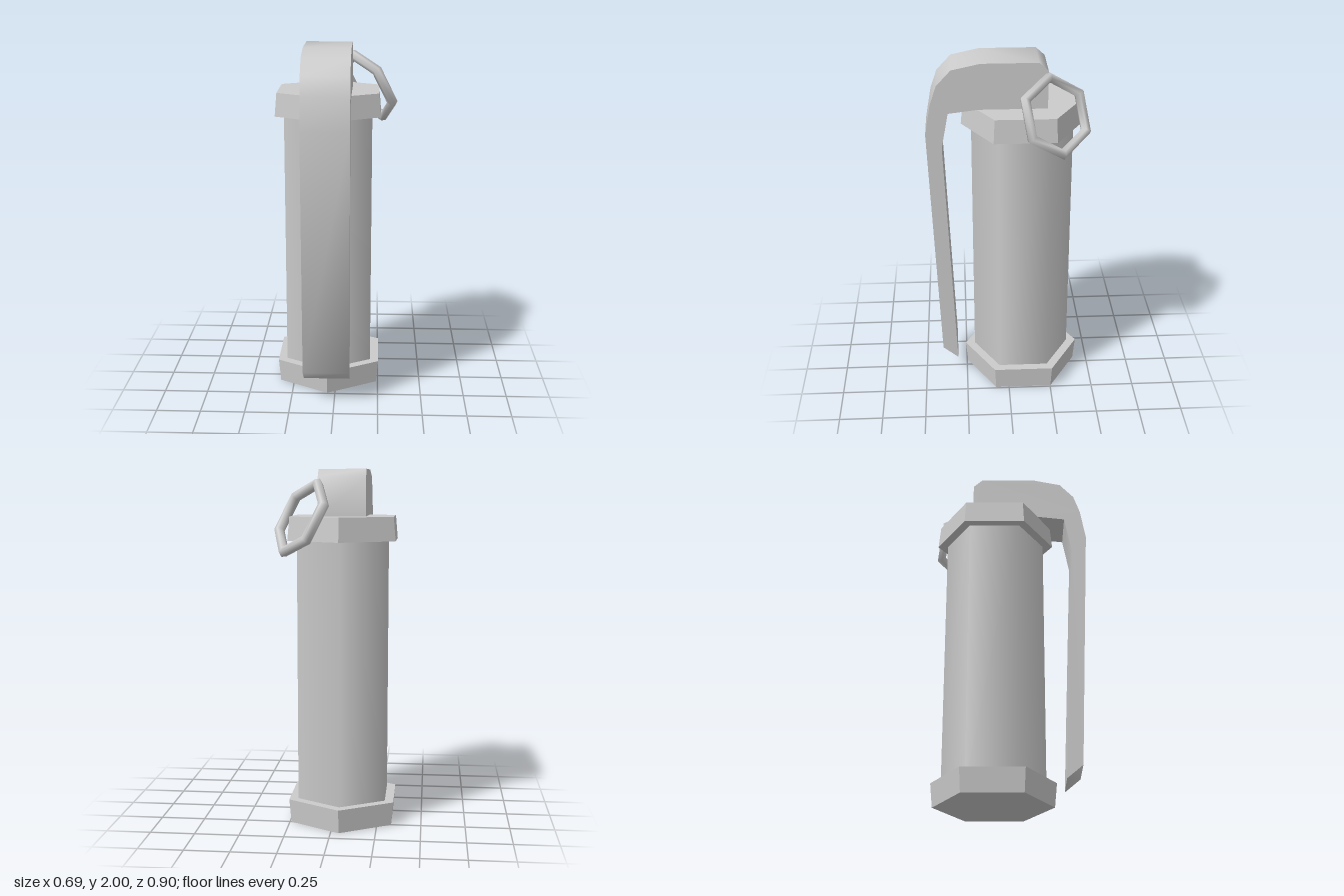
import * as THREE from 'three';
import { toCreasedNormals } from 'three/addons/utils/BufferGeometryUtils.js';

export function createModel() {
  const model = new THREE.Group();
  const smooth = new THREE.MeshStandardMaterial({ color: 0xcccccc });
  const flat = new THREE.MeshStandardMaterial({ color: 0xcccccc, flatShading: true });

  function add(name, geometry, material, parent = model) {
    const mesh = new THREE.Mesh(geometry, material);
    mesh.name = name;
    parent.add(mesh);
    return mesh;
  }

  // Six-sided canister with two flared caps, sharing one axis
  const canister = new THREE.Group();
  canister.name = 'canister';
  canister.position.set(-0.045, 0, -0.087);
  model.add(canister);

  function hexPrism(name, rTop, rBottom, y0, y1, material) {
    const geometry = new THREE.CylinderGeometry(rTop, rBottom, y1 - y0, 6);
    geometry.translate(0, (y0 + y1) / 2, 0);
    return add(name, geometry, material, canister);
  }
  hexPrism('body', 0.286, 0.286, 0.05, 1.68, smooth);
  hexPrism('bottomCap', 0.343, 0.33, 0, 0.135, flat);
  hexPrism('topCap', 0.33, 0.343, 1.61, 1.742, flat);

  // Safety lever: side profile in (z, y), extruded across x
  const profile = [
    [0.304, 0.122], [0.363, 1.52], [0.325, 1.722], [0.16, 1.742], [-0.217, 1.735],
    [-0.217, 1.955], [-0.167, 2], [0.146, 2], [0.304, 1.966], [0.384, 1.88],
    [0.42, 1.775], [0.451, 1.6], [0.393, 0.196],
  ];
  const shape = new THREE.Shape(profile.map(([z, y]) => new THREE.Vector2(z, y)));
  const leverGeometry = new THREE.ExtrudeGeometry(shape, { depth: 0.265, bevelEnabled: false });
  leverGeometry.rotateY(-Math.PI / 2);
  leverGeometry.translate(0.088, 0, 0);
  add('lever', toCreasedNormals(leverGeometry, 0.93), smooth);

  // Tilted six-sided pull ring beside the lever head
  const ring = add('pullRing', new THREE.TorusGeometry(0.208, 0.03, 6, 6), smooth);
  const xAxis = new THREE.Vector3(-0.205, 0.42, 0.075).normalize();
  const zAxis = new THREE.Vector3(0.735, 0.45, -0.51).normalize();
  const yAxis = new THREE.Vector3().crossVectors(zAxis, xAxis).normalize();
  zAxis.crossVectors(xAxis, yAxis);
  ring.quaternion.setFromRotationMatrix(new THREE.Matrix4().makeBasis(xAxis, yAxis, zAxis));
  ring.position.set(0.177, 1.735, -0.253);

  return model;
}
